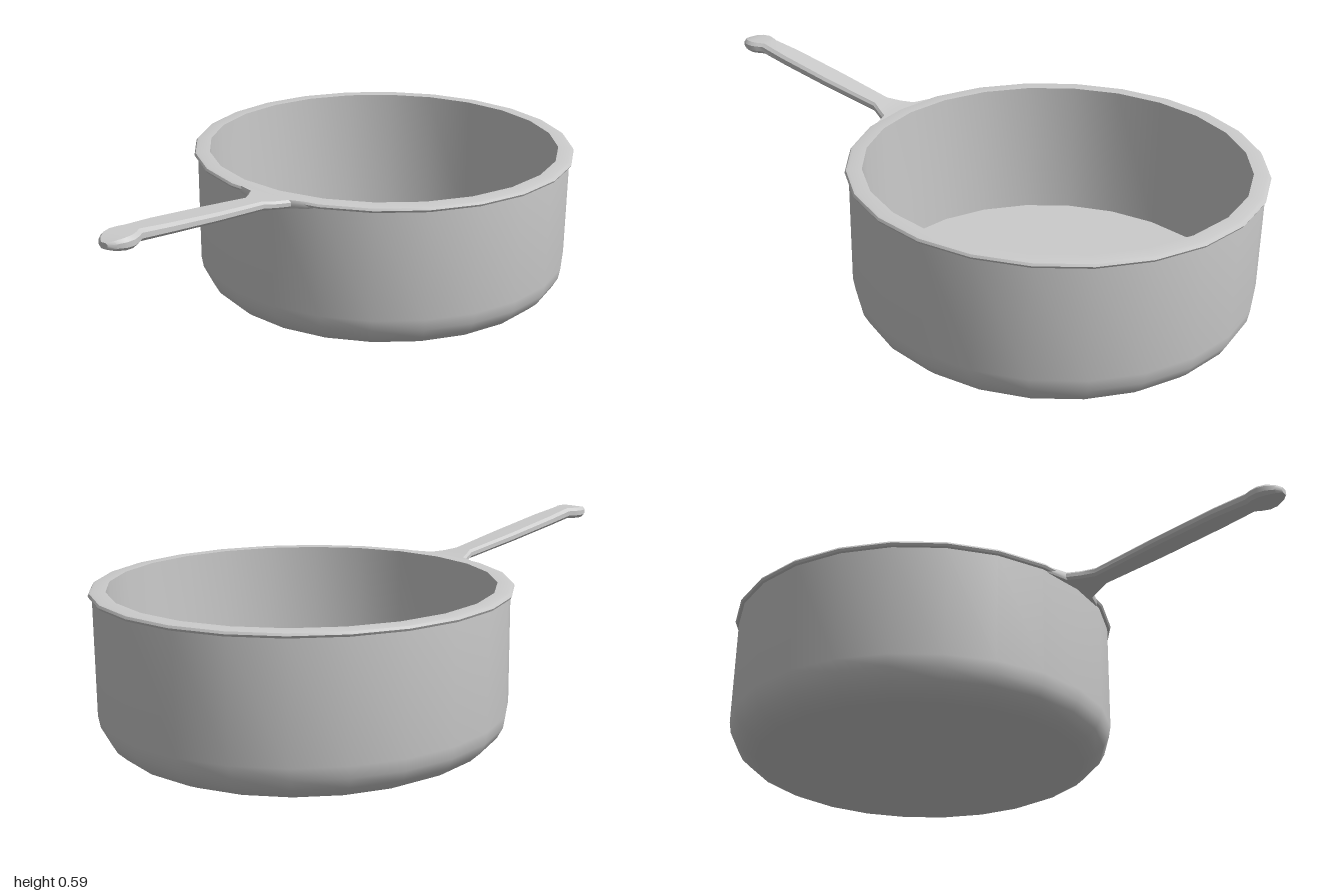
import * as THREE from 'three';
import { toCreasedNormals } from 'three/addons/utils/BufferGeometryUtils.js';

const material = new THREE.MeshStandardMaterial({ color: 0xcccccc });
const POT_Z = -0.36;

function addMesh(parent, name, geometry, crease) {
  const mesh = new THREE.Mesh(toCreasedNormals(geometry, crease), material);
  mesh.name = name;
  parent.add(mesh);
  return mesh;
}

// Skin eight-sided, bevelled sections along z: [z, half width, bottom, top]
function loft(stations) {
  const positions = [], index = [], N = 8;
  for (const [z, w, y0, y1] of stations) {
    const b = (y1 - y0) * 0.28;
    const ring = [
      [w, y0 + b], [w, y1 - b], [w - b, y1], [b - w, y1],
      [-w, y1 - b], [-w, y0 + b], [b - w, y0], [w - b, y0],
    ];
    for (const [x, y] of ring) positions.push(x, y, z);
  }
  const last = (stations.length - 1) * N;
  for (let s = 0; s < last; s += N) {
    for (let k = 0; k < N; k++) {
      const a = s + k, b = s + (k + 1) % N;
      index.push(a, b, b + N, a, b + N, a + N);
    }
  }
  for (let k = 1; k < N - 1; k++) {
    index.push(0, k + 1, k, last, last + k, last + k + 1);
  }
  const geometry = new THREE.BufferGeometry();
  geometry.setAttribute('position', new THREE.Float32BufferAttribute(positions, 3));
  geometry.setIndex(index);
  return geometry;
}

export function createModel() {
  const group = new THREE.Group();
  group.name = 'saucepan';

  // Pot: flat base, rounded lower corner, straight wall, rolled lip, plain inside
  const profile = [new THREE.Vector2(0, 0)];
  for (let i = 0; i <= 5; i++) {
    const a = (i / 5) * Math.PI / 2;
    profile.push(new THREE.Vector2(0.5 + 0.13 * Math.sin(a), 0.12 * (1 - Math.cos(a))));
  }
  for (const [r, y] of [
    [0.63, 0.477], [0.638, 0.479], [0.642, 0.486], [0.638, 0.493],
    [0.63, 0.495], [0.59, 0.495], [0.59, 0.045], [0, 0.045],
  ]) profile.push(new THREE.Vector2(r, y));
  const pot = addMesh(group, 'pot', new THREE.LatheGeometry(profile, 24), 0.75);
  pot.position.z = POT_Z;

  // Handle: root spreading into the lip, slim rising grip, rounded knob end
  const handle = loft([
    [0.235, 0.17, 0.478, 0.492],
    [0.262, 0.13, 0.471, 0.494],
    [0.28, 0.08, 0.468, 0.495],
    [0.32, 0.058, 0.471, 0.498],
    [0.36, 0.038, 0.476, 0.505],
    [0.57, 0.044, 0.507, 0.538],
    [0.78, 0.043, 0.538, 0.572],
    [0.89, 0.036, 0.552, 0.589],
    [0.91, 0.046, 0.552, 0.589],
    [0.935, 0.052, 0.551, 0.589],
    [0.96, 0.048, 0.552, 0.588],
    [0.985, 0.033, 0.556, 0.584],
    [1.0, 0.014, 0.561, 0.579],
  ]);
  addMesh(group, 'handle', handle, 0.6);

  return group;
}
